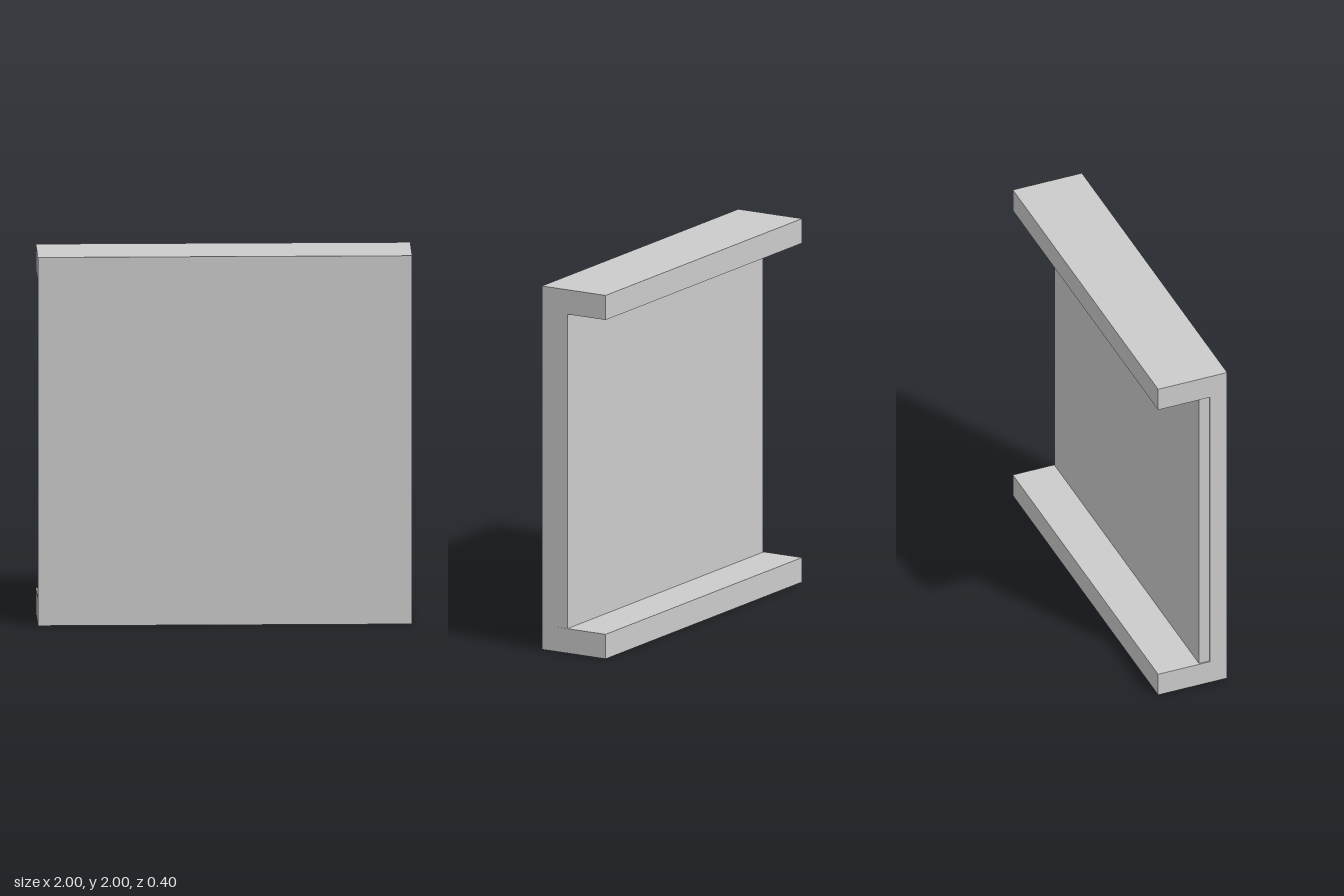
import * as THREE from 'three';

const material = new THREE.MeshStandardMaterial({ color: 0xcccccc, flatShading: true });

export function createModel() {
  const group = new THREE.Group();
  group.name = 'channelPanel';

  const width = 2, height = 2, flange = 0.135;
  const front = 0.2, back = -0.2, plateBack = 0.1, panelBack = 0.04;

  // C-shaped frame: front plate with top and bottom flanges, profile drawn as (z, y)
  const profile = new THREE.Shape([
    [front, 0], [front, height], [back, height], [back, height - flange],
    [plateBack, height - flange], [plateBack, flange], [back, flange], [back, 0],
  ].map(([z, y]) => new THREE.Vector2(-z, y)));
  const frameGeometry = new THREE.ExtrudeGeometry(profile, { depth: width, bevelEnabled: false });
  frameGeometry.translate(0, 0, -width / 2).rotateY(Math.PI / 2);
  const frame = new THREE.Mesh(frameGeometry, material);
  frame.name = 'flangedFrame';
  group.add(frame);

  // Inner panel between the flanges, its ends set in by a hair
  const left = width / 2 - 0.002, right = -width / 2 + 0.008;
  const panel = new THREE.Mesh(
    new THREE.BoxGeometry(left - right, height - 2 * flange, plateBack - panelBack), material);
  panel.position.set((left + right) / 2, height / 2, (plateBack + panelBack) / 2);
  panel.name = 'innerPanel';
  group.add(panel);

  return group;
}
